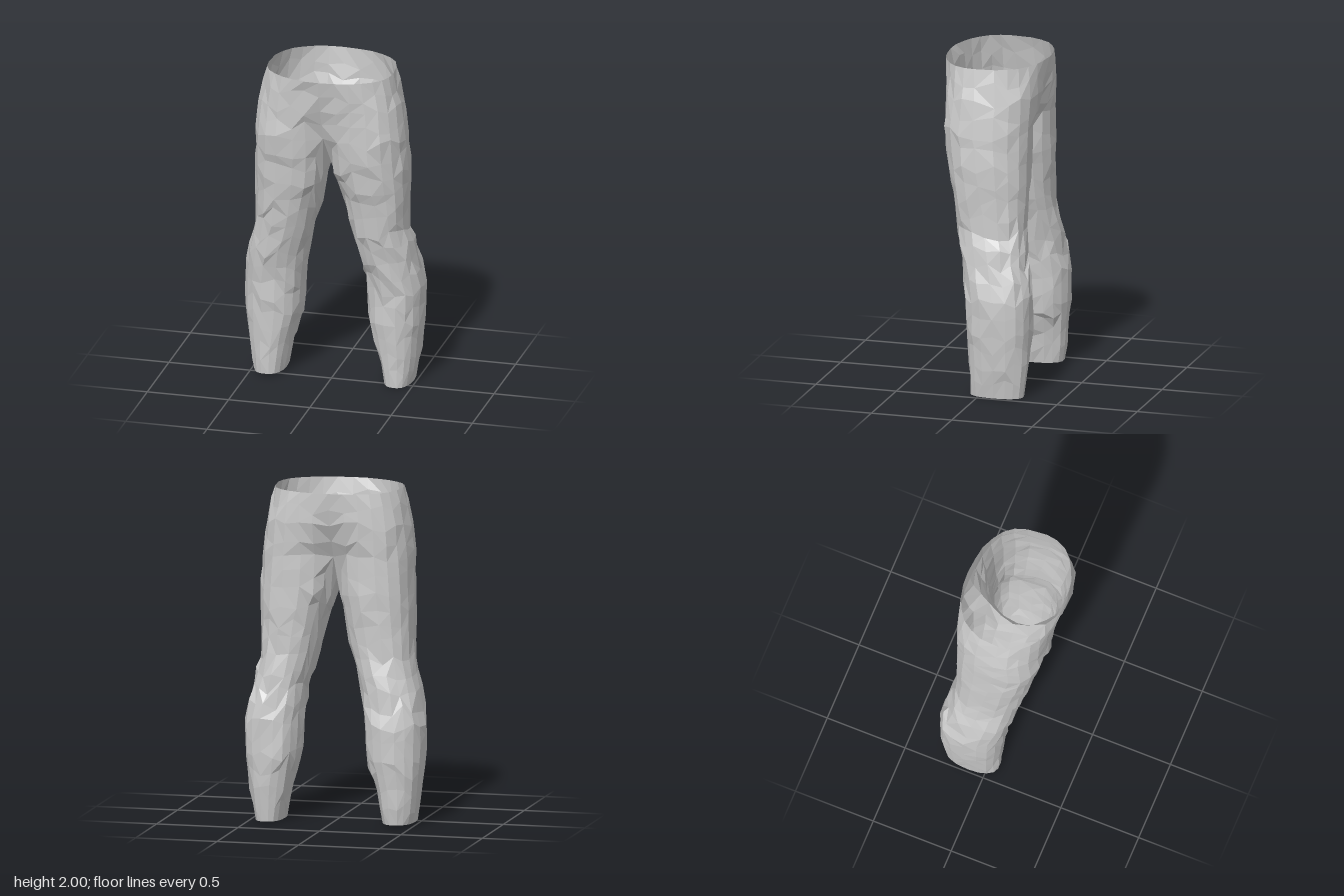
import * as THREE from 'three';

const material = new THREE.MeshStandardMaterial({ color: 0xcccccc, flatShading: true, side: THREE.DoubleSide });

// Outline of each leg: [height, outer x, inner x, front z, back z]
const LEFT = [
  [0, 0.483, 0.313, 0.065, -0.262], [0.2, 0.517, 0.268, 0.072, -0.287], [0.4, 0.54, 0.215, 0.087, -0.305],
  [0.6, 0.55, 0.203, 0.094, -0.307], [0.8, 0.508, 0.187, 0.132, -0.27], [1.0, 0.466, 0.123, 0.167, -0.247],
  [1.2, 0.469, 0.075, 0.202, -0.247], [1.4, 0.474, 0.01, 0.238, -0.253], [1.6, 0.464, 0, 0.268, -0.257],
  [1.8, 0.437, 0, 0.293, -0.302], [2.0, 0.393, 0, 0.315, -0.3],
];
const RIGHT = [
  [0, 0.487, 0.3, 0.065, -0.267], [0.2, 0.523, 0.26, 0.072, -0.292], [0.4, 0.542, 0.2, 0.087, -0.312],
  [0.6, 0.55, 0.188, 0.094, -0.314], [0.8, 0.512, 0.163, 0.132, -0.28], [1.0, 0.462, 0.103, 0.167, -0.247],
  [1.2, 0.459, 0.046, 0.202, -0.247], [1.4, 0.454, 0.005, 0.238, -0.253], [1.6, 0.44, 0, 0.268, -0.257],
  [1.8, 0.425, 0, 0.293, -0.302], [2.0, 0.372, 0, 0.315, -0.3],
];

const COLS = 18;       // columns round one leg; the first 15 also run up over the hip
const HIP_COLS = 15;
const STEP = 360 / COLS;
const FORK = 1.6;      // height where hips hand over to legs
const SEAM = [[1.46, -0.09], [1.39, -0.01], [1.46, 0.08]];   // crotch seam [y, z], back to front

const noise = (a, b, c) => {
  const s = Math.sin(a * 127.1 + b * 311.7 + c * 74.7) * 43758.5453;
  return (s - Math.floor(s)) * 2 - 1;
};

function profileAt(table, y) {
  let k = 0;
  while (k < table.length - 2 && y > table[k + 1][0]) k++;
  const t = (y - table[k][0]) / (table[k + 1][0] - table[k][0]);
  return table[k].map((v, i) => THREE.MathUtils.lerp(v, table[k + 1][i], t));
}

const squared = (v, power) => Math.sign(v) * Math.pow(Math.abs(v), power);

// Depth on an oval whose widest line moves forward towards the waist
function ovalDepth(y, front, back, c) {
  const mid = (front + back) / 2 + 0.04 * THREE.MathUtils.smoothstep(y, 0.9, 1.9);
  return mid + c * (c > 0 ? front - mid : mid - back);
}

// Points of the oval round one leg
function legPoint(table, col, y) {
  const [, outer, inner, front, back] = profileAt(table, y);
  const a = THREE.MathUtils.degToRad(STEP * (col - 2.5));
  return [
    (outer + inner) / 2 + squared(Math.sin(a), 0.84) * (outer - inner) / 2,
    ovalDepth(y, front, back, squared(Math.cos(a), 0.84)),
  ];
}

// Half of the hip outline, going from waist oval to thigh oval
function hipPoint(table, col, y) {
  const [, outer, , front, back] = profileAt(table, y);
  const a = Math.PI * col / (HIP_COLS - 1);
  const w = Math.pow((2 - y) / (2 - FORK), 1.5);
  const [lx, lz] = legPoint(table, col, y);
  const depth = squared(Math.cos(a), Math.cos(a) < 0 ? 0.7 : 0.9);
  const x = THREE.MathUtils.lerp(outer * squared(Math.sin(a), 0.96), lx, w);
  const z = THREE.MathUtils.lerp(ovalDepth(y, front, back, depth), lz, w);
  return [col === 0 || col === HIP_COLS - 1 ? 0 : x, z];
}

// Cloth wrinkles: uneven height and depth, strongest round the knees
function wrinkle(table, x, y, z, col, row, seed) {
  if (x === 0) return [x, y, z];
  const [, outer, inner, front, back] = profileAt(table, y);
  const edge = y > 0.02 && y < 1.99;
  const knee = Math.exp(-Math.pow((y - 0.75) / 0.2, 2));
  const k = 1 + noise(col, row, seed) * (edge ? 0.024 + 0.02 * knee : 0.01);
  const cx = y > FORK ? outer * 0.45 : (outer + inner) / 2;
  const cz = (front + back) / 2;
  return [
    Math.max(0.004, cx + (x - cx) * k),
    y + (edge ? noise(row, col, seed + 5) * 0.034 : 0),
    cz + (z - cz) * k,
  ];
}

// Skin rows of points with triangles whose diagonals vary
function skin(name, rows, closed, side) {
  const n = rows[0].length;
  const index = [];
  const tri = (a, b, c) => (side > 0 ? index.push(a, b, c) : index.push(a, c, b));
  for (let r = 0; r < rows.length - 1; r++) {
    for (let i = 0; i < (closed ? n : n - 1); i++) {
      const j = (i + 1) % n;
      const a = r * n + i, b = a + n, c = (r + 1) * n + j, d = r * n + j;
      if (noise(r, i, side) > 0) { tri(a, b, c); tri(a, c, d); }
      else { tri(a, b, d); tri(b, c, d); }
    }
  }
  const geometry = new THREE.BufferGeometry();
  const points = rows.flat().flatMap(([x, y, z]) => [x * side, y, z]);
  geometry.setAttribute('position', new THREE.Float32BufferAttribute(points, 3));
  geometry.setIndex(index);
  geometry.computeVertexNormals();
  const mesh = new THREE.Mesh(geometry, material);
  mesh.name = name;
  return mesh;
}

function buildHalf(side, table, label) {
  const half = new THREE.Group();
  half.name = label + 'Half';
  const seed = side > 0 ? 3 : 11;

  // Hip panel from the waist down to the fork
  const hip = [];
  for (let r = 0; r <= 4; r++) {
    const y = 2 - r * 0.1;
    hip.push(Array.from({ length: HIP_COLS }, (_, c) => {
      const [x, z] = hipPoint(table, c, y);
      return wrinkle(table, x, y, z, c, r, seed);
    }));
  }
  half.add(skin(label + 'Hip', hip, false, side));

  // Leg: the first ring is the hip edge closed by the crotch seam
  const leg = [[...hip[4], ...SEAM.map(([y, z]) => [0, y, z])]];
  const hem = side > 0 ? 0 : 0.012;
  const rows = 16;
  for (let r = 1; r <= rows; r++) {
    const t = 1 - r / rows;
    leg.push(Array.from({ length: COLS }, (_, c) => {
      const top = c < HIP_COLS ? FORK : SEAM[c - HIP_COLS][0];
      const y = hem + (top - hem) * t;
      const [x, z] = legPoint(table, c, y);
      return wrinkle(table, x, y, z, c, r + 4, seed);
    }));
  }
  half.add(skin(label + 'Leg', leg, true, side));
  return half;
}

export function createModel() {
  const trousers = new THREE.Group();
  trousers.name = 'trousers';
  trousers.add(buildHalf(1, LEFT, 'left'), buildHalf(-1, RIGHT, 'right'));
  return trousers;
}
